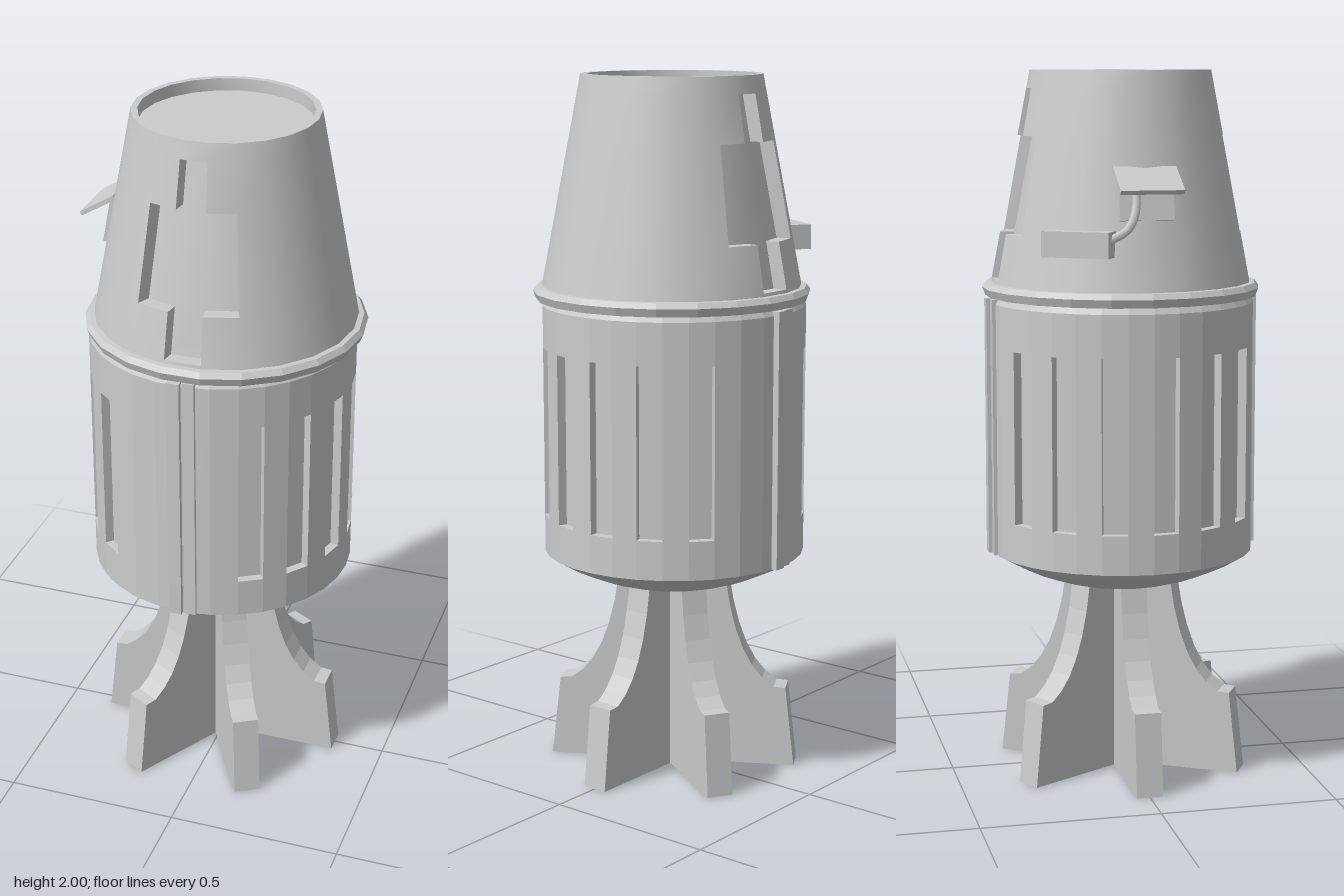
import * as THREE from 'three';
import { toCreasedNormals } from 'three/addons/utils/BufferGeometryUtils.js';

const SIDES = 22;
const STEP = (Math.PI * 2) / SIDES;
const rad = THREE.MathUtils.degToRad;
const mat = new THREE.MeshStandardMaterial({ color: 0xcccccc });
const matDouble = new THREE.MeshStandardMaterial({ color: 0xcccccc, side: THREE.DoubleSide });

function add(parent, name, geometry, material = mat) {
  const mesh = new THREE.Mesh(geometry, material);
  mesh.name = name;
  parent.add(mesh);
  return mesh;
}

// Round shell made of cells; cells where isDeep(i, j) holds are sunk and walled.
// rings: [radius, y] from bottom to top, angles: measured from +z towards +x.
function recessedShell(angles, rings, depth, isDeep) {
  const pos = [];
  const n = angles.length;
  const point = (i, j, deep) => {
    const r = rings[j][0] - (deep ? depth : 0);
    const a = angles[i % n];
    return [r * Math.sin(a), rings[j][1], r * Math.cos(a)];
  };
  const quad = (a, b, c, d, flip) => {
    const q = flip ? [d, c, b, a] : [a, b, c, d];
    pos.push(...q[0], ...q[1], ...q[2], ...q[0], ...q[2], ...q[3]);
  };
  for (let i = 0; i < n; i++) {
    for (let j = 0; j < rings.length - 1; j++) {
      const k = i + 1;
      const deep = isDeep(i, j);
      quad(point(i, j, deep), point(k, j, deep), point(k, j + 1, deep), point(i, j + 1, deep));
      // side wall to the next column
      if (deep !== isDeep(k % n, j)) {
        quad(point(k, j, true), point(k, j, false), point(k, j + 1, false), point(k, j + 1, true), !deep);
      }
      // floor or ceiling wall to the next row
      if (j < rings.length - 2 && deep !== isDeep(i, j + 1)) {
        const t = j + 1;
        quad(point(i, t, false), point(k, t, false), point(k, t, true), point(i, t, true), deep);
      }
    }
  }
  const geo = new THREE.BufferGeometry();
  geo.setAttribute('position', new THREE.Float32BufferAttribute(pos, 3));
  geo.computeVertexNormals();
  return geo;
}

function lathe(points, crease = 0.4) {
  const profile = points.map(([x, y]) => new THREE.Vector2(x, y));
  return toCreasedNormals(new THREE.LatheGeometry(profile, SIDES, STEP / 2), crease);
}

// Tapered nose with two stepped hatches, front and back
function buildNose(group) {
  const angles = Array.from({ length: SIDES }, (_, i) => (i - 0.5) * STEP);
  const coneRadius = (y) => 0.368 - ((y - 1.41) / 0.59) * 0.113;
  const rings = [1.405, 1.42, 1.55, 1.82, 1.95, 2].map((y) => [coneRadius(y), y]);
  const inHatch = (i, j) => {
    const c = i % (SIDES / 2);
    const off = Math.min(c, SIDES / 2 - c);
    if (j === 2) return off <= 1;
    return (j === 1 || j === 3) && off === 0;
  };
  add(group, 'noseCone', toCreasedNormals(recessedShell(angles, rings, 0.04, inHatch), 0.4), matDouble);
  add(group, 'noseTopWell', lathe([[0.255, 2], [0.237, 2], [0.237, 1.965], [0, 1.965]]), matDouble);
  add(group, 'collar', lathe([
    [0.3, 1.372], [0.385, 1.372], [0.394, 1.395], [0.383, 1.41], [0.35, 1.412],
  ], 0.2), matDouble);
}

// Faceted drum with six slots on each side
function buildBody(group) {
  const angles = [];
  const slots = new Set();
  for (const half of [0, 180]) {
    for (let j = 0; j < 11; j++) {
      if (j % 2 === 0) slots.add(angles.length);
      angles.push(rad(25 + 11 * j + half));
    }
    for (let j = 0; j < 5; j++) angles.push(rad(146 + 11.8 * j + half));
  }
  const rings = [[0.375, 0.64], [0.375, 0.75], [0.375, 1.235], [0.375, 1.355], [0.364, 1.375]];
  add(group, 'body', recessedShell(angles, rings, 0.025, (i, j) => j === 1 && slots.has(i)), matDouble);

  // shallow domed bottom
  const dome = [];
  const R = 0.694;
  for (let i = 0; i <= 8; i++) {
    const r = (0.375 * i) / 8;
    dome.push([r, 0.53 + R - Math.sqrt(R * R - r * r)]);
  }
  add(group, 'bottomDome', lathe(dome), matDouble);

  // paired seam strips, front and back
  for (const turn of [0, Math.PI]) {
    const seam = new THREE.Group();
    seam.name = 'seam';
    seam.rotation.y = turn;
    add(seam, 'seamStripRaised', new THREE.BoxGeometry(0.036, 0.728, 0.04)).position.set(-0.01, 1.004, 0.37);
    add(seam, 'seamStripLow', new THREE.BoxGeometry(0.034, 0.728, 0.04)).position.set(0.03, 1.004, 0.36);
    group.add(seam);
  }
}

// Six radial fins that carry the body
function buildFins(group) {
  const shape = new THREE.Shape();
  shape.moveTo(0, 0);
  shape.lineTo(0.36, 0);
  shape.lineTo(0.334, 0.235);
  shape.lineTo(0.3, 0.238);
  shape.quadraticCurveTo(0.19, 0.3, 0.157, 0.56);
  shape.lineTo(0, 0.56);
  const geo = new THREE.ExtrudeGeometry(shape, { depth: 0.075, bevelEnabled: false, curveSegments: 6 });
  geo.translate(0, 0, -0.0375);
  for (let i = 0; i < 6; i++) add(group, 'fin', geo).rotation.y = (i * Math.PI) / 3;
}

// Tilted flap and small box joined by a bent arm, on the right side
function buildSideFitting(group) {
  const flap = add(group, 'sideFlap', new THREE.BoxGeometry(0.115, 0.013, 0.175));
  flap.position.set(-0.343, 1.71, -0.002);
  flap.rotation.z = Math.atan2(0.06, 0.1);

  const back = add(group, 'flapBacking', new THREE.BoxGeometry(0.02, 0.13, 0.15));
  back.position.set(-0.312, 1.665, -0.002);
  back.rotation.z = -0.19;

  const box = add(group, 'sideBox', new THREE.BoxGeometry(0.19, 0.07, 0.062));
  box.position.set(-0.303, 1.54, -0.185);
  box.rotation.y = Math.atan2(-0.303, -0.185);

  const path = new THREE.CatmullRomCurve3([
    new THREE.Vector3(-0.345, 1.55, -0.11),
    new THREE.Vector3(-0.352, 1.58, -0.06),
    new THREE.Vector3(-0.335, 1.63, -0.035),
    new THREE.Vector3(-0.305, 1.7, -0.03),
  ]);
  add(group, 'sideArm', new THREE.TubeGeometry(path, 10, 0.012, 6));
}

export function createModel() {
  const model = new THREE.Group();
  model.name = 'finnedCapsule';
  const lower = new THREE.Group();
  lower.name = 'lowerSection';
  lower.position.x = -0.01;
  buildFins(lower);
  buildBody(lower);
  buildNose(model);
  buildSideFitting(model);
  model.add(lower);
  return model;
}
